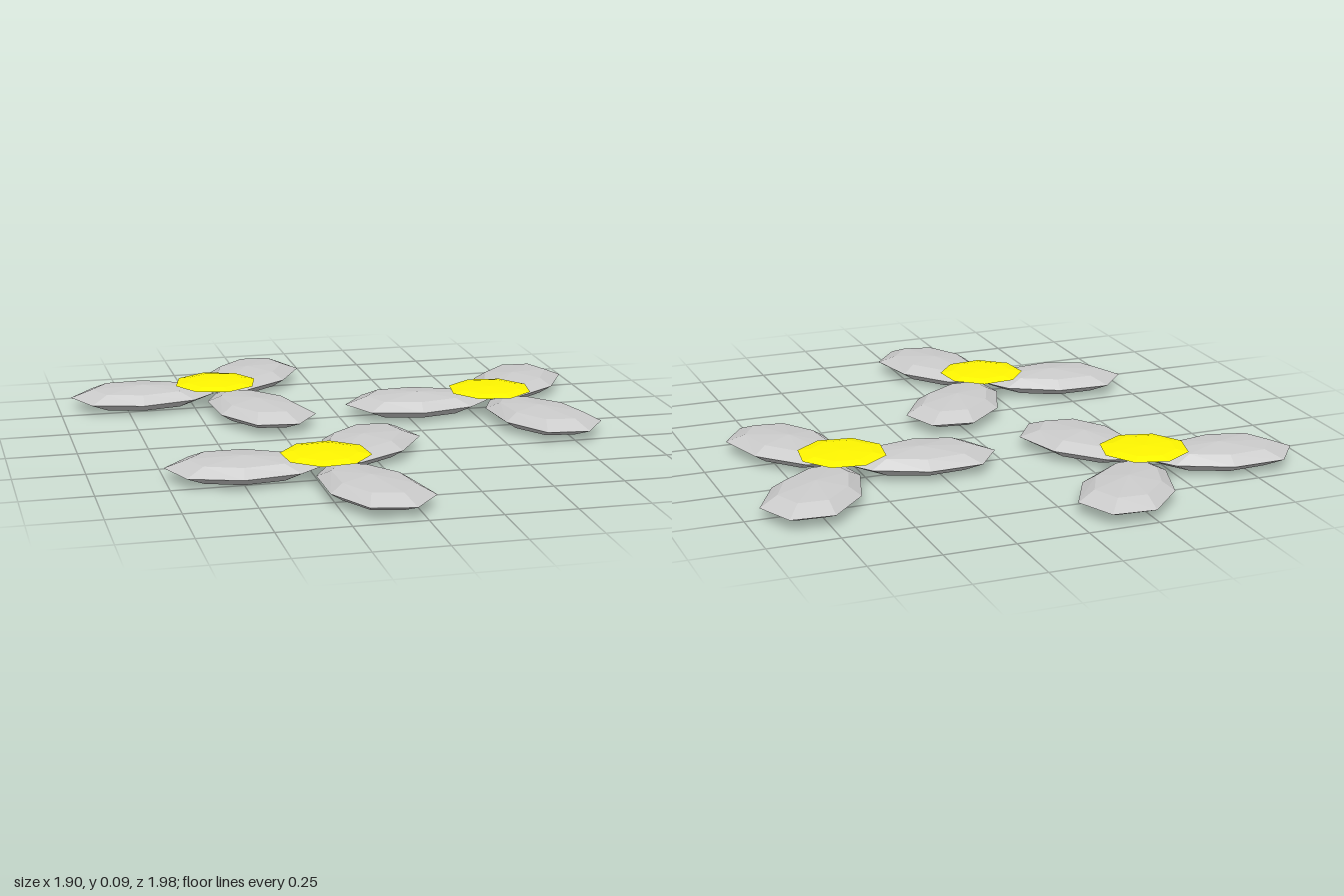
import * as THREE from 'three';

const petalMaterial = new THREE.MeshStandardMaterial({ color: 0xcccccc, flatShading: true });
const discMaterial = new THREE.MeshStandardMaterial({ color: 0xfff700, flatShading: true });

// Squashed low-poly ball, wider towards its outer (+x) end
function makePetalGeometry() {
  const geometry = new THREE.SphereGeometry(1, 8, 4);
  const pos = geometry.attributes.position;
  for (let i = 0; i < pos.count; i++) {
    const x = pos.getX(i);
    const taper = 1 + 0.25 * x;
    pos.setXYZ(i, 0.275 + 0.27 * x, 0.042 + 0.042 * pos.getY(i), 0.157 * taper * pos.getZ(i));
  }
  geometry.computeVertexNormals();
  return geometry;
}

// Flat eight-sided flower centre
function makeDiscGeometry() {
  return new THREE.SphereGeometry(1, 8, 4).scale(0.156, 0.011, 0.156);
}

export function createModel() {
  const model = new THREE.Group();
  model.name = 'flowers';
  const petalGeometry = makePetalGeometry();
  const discGeometry = makeDiscGeometry();

  // Position and turn of each flower, and turn of its centre (degrees)
  const flowers = [
    { x: -0.413, z: -0.542, turn: 53.7, discTurn: 8 },
    { x: 0.569, z: -0.206, turn: 54, discTurn: 14 },
    { x: -0.216, z: 0.476, turn: 49.5, discTurn: 28 },
  ];

  for (const { x, z, turn, discTurn } of flowers) {
    const flower = new THREE.Group();
    flower.name = 'flower';
    flower.position.set(x, 0, z);

    // Three petals spread evenly
    for (let i = 0; i < 3; i++) {
      const petal = new THREE.Mesh(petalGeometry, petalMaterial);
      petal.name = 'petal';
      petal.rotation.y = THREE.MathUtils.degToRad(turn + i * 120);
      flower.add(petal);
    }

    const disc = new THREE.Mesh(discGeometry, discMaterial);
    disc.name = 'flowerCentre';
    disc.position.y = 0.084;
    disc.rotation.y = THREE.MathUtils.degToRad(discTurn);
    flower.add(disc);

    model.add(flower);
  }
  return model;
}
